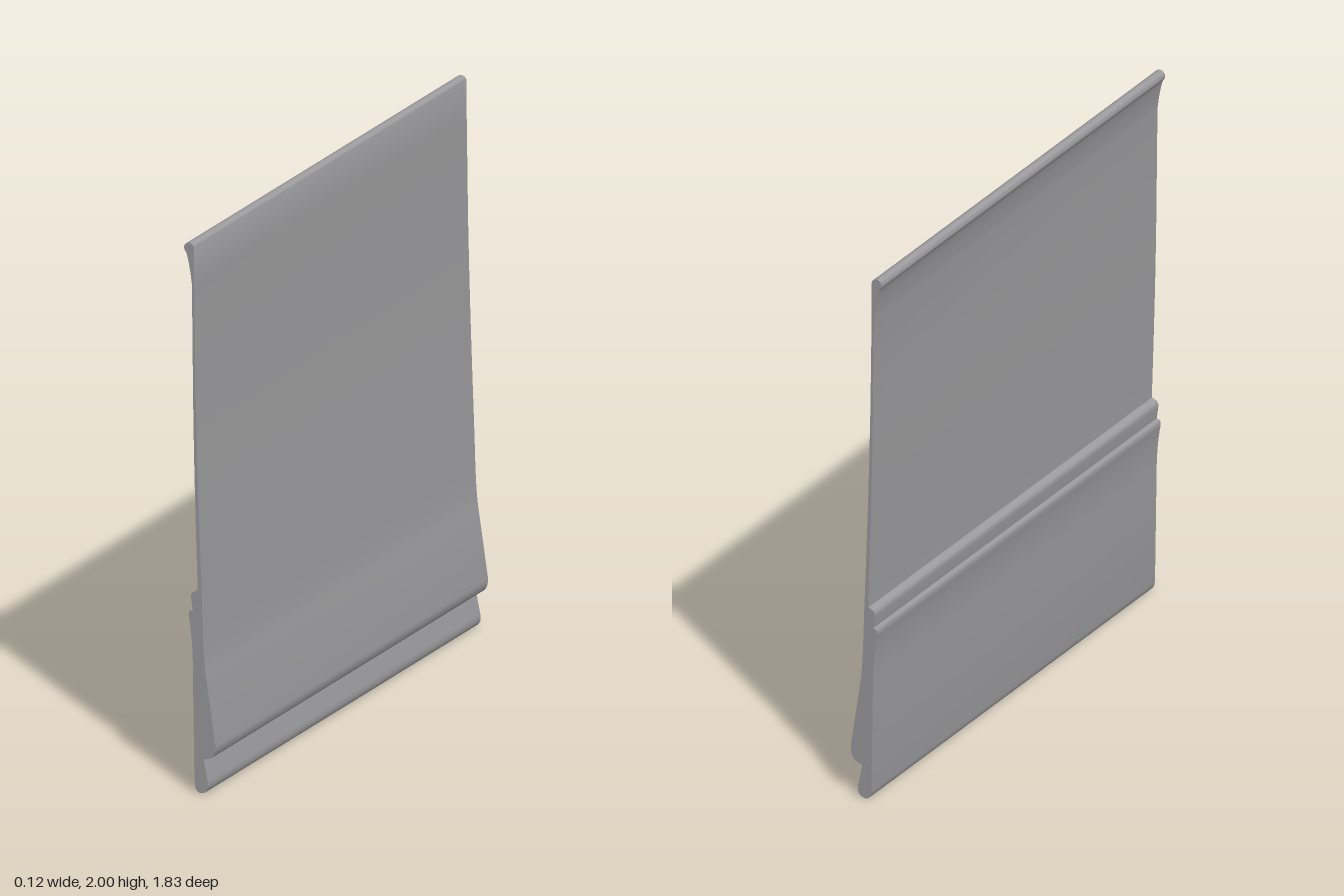
import * as THREE from 'three';
import { toCreasedNormals } from 'three/addons/utils/BufferGeometryUtils.js';

const WIDTH = 1.83;

// Cross-section of the panel in x and y, drawn counter-clockwise from the foot
function panelProfile() {
  const s = new THREE.Shape();
  s.moveTo(0, 0);
  // Rounded foot and the undercut below the front drip edge
  s.quadraticCurveTo(0.018, 0, 0.026, 0.015);
  s.quadraticCurveTo(0.033, 0.03, 0.028, 0.05);
  s.lineTo(0.012, 0.125);
  // Thick drip edge
  s.lineTo(0.035, 0.132);
  s.bezierCurveTo(0.05, 0.135, 0.062, 0.16, 0.058, 0.19);
  s.lineTo(0.02, 0.44);
  // Thin sheet, leaning back as it rises
  s.bezierCurveTo(0.01, 0.51, 0.009, 0.6, 0.004, 0.74);
  s.bezierCurveTo(-0.004, 0.95, -0.014, 1.2, -0.02, 1.5);
  s.lineTo(-0.025, 1.85);
  s.lineTo(-0.025, 1.98);
  // Rolled bead along the top
  s.absarc(-0.045, 1.98, 0.02, 0, Math.PI * 1.3, false);
  s.quadraticCurveTo(-0.044, 1.93, -0.034, 1.85);
  // Back of the sheet
  s.lineTo(-0.03, 1.5);
  s.bezierCurveTo(-0.027, 1.2, -0.018, 0.95, -0.012, 0.76);
  s.lineTo(-0.012, 0.735);
  // Locking ledge and groove on the back
  s.lineTo(-0.03, 0.728);
  s.quadraticCurveTo(-0.039, 0.722, -0.037, 0.705);
  s.lineTo(-0.031, 0.66);
  s.lineTo(-0.043, 0.657);
  s.quadraticCurveTo(-0.049, 0.65, -0.045, 0.63);
  s.quadraticCurveTo(-0.03, 0.55, -0.03, 0.43);
  s.lineTo(-0.024, 0.04);
  s.quadraticCurveTo(-0.022, 0, 0, 0);
  return s;
}

export function createModel() {
  const model = new THREE.Group();
  model.name = 'interlockingPanel';
  const material = new THREE.MeshStandardMaterial({ color: 0x9a9a9c });
  material.name = 'grey';

  const solid = new THREE.ExtrudeGeometry(panelProfile(), {
    depth: WIDTH, bevelEnabled: false, curveSegments: 10,
  });
  solid.translate(0, 0, -WIDTH / 2);

  const panel = new THREE.Mesh(toCreasedNormals(solid, 0.6), material);
  panel.name = 'panel';
  model.add(panel);
  return model;
}
